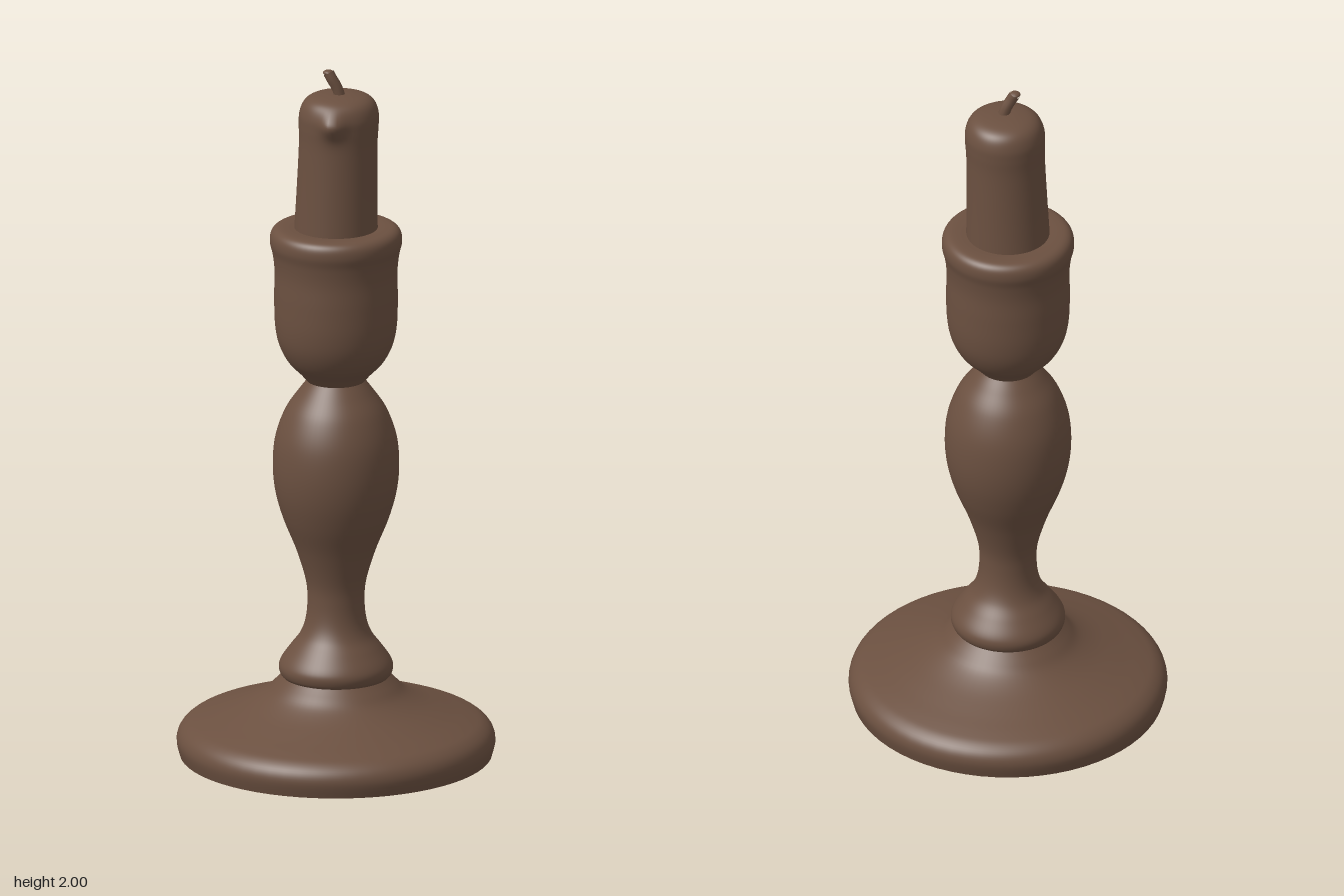
import * as THREE from 'three';
import { mergeVertices } from 'three/addons/utils/BufferGeometryUtils.js';

const brown = new THREE.MeshStandardMaterial({ color: 0x6b5040 });
brown.name = 'dark brown';

// Smooth lathe through [radius, height] points, listed from bottom to top
function turned(points, rings, move) {
  const curve = new THREE.SplineCurve(points.map(([r, y]) => new THREE.Vector2(r, y)));
  const profile = curve.getPoints(rings);
  profile.forEach(p => { p.x = Math.max(p.x, 0); });
  let geometry = new THREE.LatheGeometry(profile, 64);
  if (!move) return geometry;
  geometry.deleteAttribute('normal');
  geometry.deleteAttribute('uv');
  geometry = mergeVertices(geometry);
  const pos = geometry.attributes.position;
  const v = new THREE.Vector3();
  for (let i = 0; i < pos.count; i++) {
    move(v.fromBufferAttribute(pos, i));
    pos.setXYZ(i, v.x, v.y, v.z);
  }
  geometry.computeVertexNormals();
  return geometry;
}

export function createModel() {
  const group = new THREE.Group();
  group.name = 'candlestick';
  const add = (name, geometry) => {
    const mesh = new THREE.Mesh(geometry, brown);
    mesh.name = name;
    group.add(mesh);
    return mesh;
  };

  // Round foot plate with a flat underside
  add('base', turned([
    [0.437, 0], [0.446, 0.04], [0.438, 0.07], [0.415, 0.092], [0.38, 0.107],
    [0.32, 0.128], [0.25, 0.155], [0.2, 0.182], [0.17, 0.21], [0.148, 0.232],
  ], 40));
  add('baseUnderside', new THREE.CircleGeometry(0.437, 64)).rotation.x = Math.PI / 2;

  // Collar flowing into the baluster stem
  add('stem', turned([
    [0.146, 0.226], [0.156, 0.238], [0.16, 0.258], [0.152, 0.28], [0.127, 0.315],
    [0.1, 0.352], [0.085, 0.395], [0.08, 0.45], [0.085, 0.51], [0.112, 0.6],
    [0.148, 0.69], [0.17, 0.77], [0.177, 0.85], [0.169, 0.93], [0.142, 1.005],
    [0.105, 1.06], [0.078, 1.095],
  ], 96));

  // Candle cup with a flared lip
  add('cup', turned([
    [0.078, 1.088], [0.1, 1.113], [0.135, 1.15], [0.16, 1.2], [0.171, 1.26],
    [0.173, 1.34], [0.172, 1.41], [0.177, 1.46], [0.185, 1.495], [0.182, 1.522],
    [0.167, 1.537], [0.14, 1.54], [0.1, 1.537],
  ], 72));

  // Candle, leaning slightly forward, with a melted bulge at its front right edge
  const dripAngle = Math.atan2(0.085, -0.11);
  add('candle', turned([
    [0.117, 1.53], [0.113, 1.65], [0.11, 1.78], [0.112, 1.84], [0.111, 1.875],
    [0.1, 1.905], [0.078, 1.922], [0.04, 1.93], [0, 1.932],
  ], 56, v => {
    const t = (v.y - 1.53) / 0.4;
    const r = Math.hypot(v.x, v.z);
    const angle = Math.atan2(v.z, v.x) - dripAngle;
    const a = Math.atan2(Math.sin(angle), Math.cos(angle));
    const bulge = 0.026 * Math.exp(-((a / 0.28) ** 2) - (((v.y - 1.865) / 0.035) ** 2));
    if (r > 0.001) {
      const k = 1 + bulge / Math.max(r, 0.08);
      v.x *= k;
      v.z *= k;
    }
    v.x += 0.004 * t;
    v.z += 0.01 * t;
  }));

  // Short bent wick with a blunt tip
  const path = new THREE.CatmullRomCurve3([
    new THREE.Vector3(0.002, 1.915, 0.018),
    new THREE.Vector3(-0.006, 1.95, 0.01),
    new THREE.Vector3(-0.016, 1.975, 0),
    new THREE.Vector3(-0.021, 1.992, -0.008),
  ]);
  add('wick', new THREE.TubeGeometry(path, 10, 0.016, 10));
  const tip = add('wickTip', new THREE.SphereGeometry(0.016, 12, 8));
  tip.scale.y = 0.5;
  tip.position.copy(path.getPoint(1));

  return group;
}
